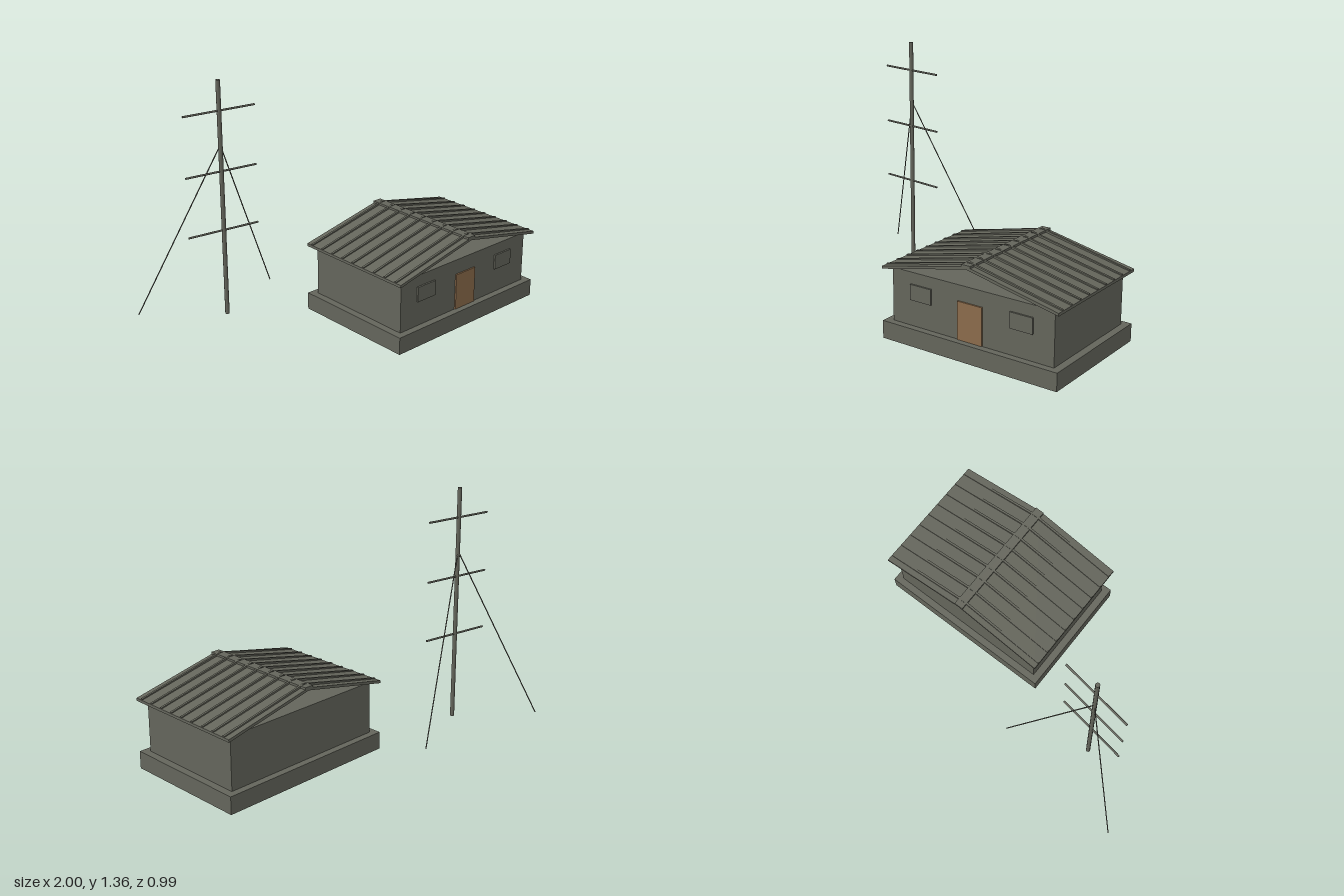
import * as THREE from 'three';

const grey = new THREE.MeshStandardMaterial({ color: 0x64655b });
grey.name = 'weathered grey';
const brown = new THREE.MeshStandardMaterial({ color: 0x8b6b4b });
brown.name = 'door brown';

function add(parent, name, geometry, material, x = 0, y = 0, z = 0) {
  const mesh = new THREE.Mesh(geometry, material);
  mesh.name = name;
  mesh.position.set(x, y, z);
  parent.add(mesh);
  return mesh;
}

// Box standing on height y
function block(parent, name, w, h, d, material, x, y, z) {
  return add(parent, name, new THREE.BoxGeometry(w, h, d), material, x, y + h / 2, z);
}

// Round bar between two points
function bar(parent, name, a, b, radius, sides) {
  const from = new THREE.Vector3(...a), to = new THREE.Vector3(...b);
  const dir = to.clone().sub(from);
  const mesh = add(parent, name, new THREE.CylinderGeometry(radius, radius, dir.length(), sides), grey);
  mesh.position.copy(from).add(to).multiplyScalar(0.5);
  mesh.quaternion.setFromUnitVectors(new THREE.Vector3(0, 1, 0), dir.normalize());
  return mesh;
}

// Inverted V strip, extruded along the ridge
function chevron(half, ridgeY, eaveY, thick, depth) {
  const s = new THREE.Shape();
  s.moveTo(-half, eaveY - thick);
  s.lineTo(0, ridgeY - thick);
  s.lineTo(half, eaveY - thick);
  s.lineTo(half, eaveY);
  s.lineTo(0, ridgeY);
  s.lineTo(-half, eaveY);
  s.closePath();
  return new THREE.ExtrudeGeometry(s, { depth, bevelEnabled: false }).translate(0, 0, -depth / 2);
}

function createHut() {
  const hut = new THREE.Group();
  hut.name = 'hut';
  block(hut, 'foundation', 1.03, 0.095, 0.71, grey, 0, 0, 0);
  block(hut, 'walls', 0.95, 0.285, 0.635, grey, 0, 0.094, 0);

  // Door and windows on the front wall
  block(hut, 'door', 0.145, 0.2, 0.012, brown, 0, 0.097, 0.32);
  for (const side of [-1, 1]) {
    block(hut, side > 0 ? 'leftWindow' : 'rightWindow', 0.127, 0.083, 0.014, grey, side * 0.296, 0.234, 0.32);
  }

  // Open gabled roof with ribs and ridge cap
  add(hut, 'roof', chevron(0.515, 0.498, 0.388, 0.015, 0.71), grey);
  for (let i = -4; i <= 4; i++) {
    add(hut, 'roofRib', chevron(0.513, 0.509, 0.394, 0.012, 0.012), grey, 0, 0, i * 0.079);
  }
  block(hut, 'ridgeCap', 0.052, 0.015, 0.712, grey, 0, 0.489, 0);

  hut.position.set(0.434, 0, 0.067);
  hut.rotation.y = 0.15;
  return hut;
}

function createMast() {
  const mast = new THREE.Group();
  mast.name = 'mast';
  bar(mast, 'pole', [0, 0.085, 0], [0, 1.355, 0], 0.0115, 12);
  for (const y of [0.56, 0.88, 1.198]) {
    bar(mast, 'crossArm', [-0.2, y, 0], [0.2, y, 0], 0.0055, 8);
  }
  for (const side of [-1, 1]) {
    bar(mast, 'guyWire', [0, 1.018, -0.002], [side * 0.398, 0.085, -0.24], 0.003, 6);
  }
  mast.position.set(-0.6, 0, -0.254);
  return mast;
}

export function createModel() {
  const model = new THREE.Group();
  model.name = 'hutWithMast';
  model.add(createHut(), createMast());
  return model;
}
